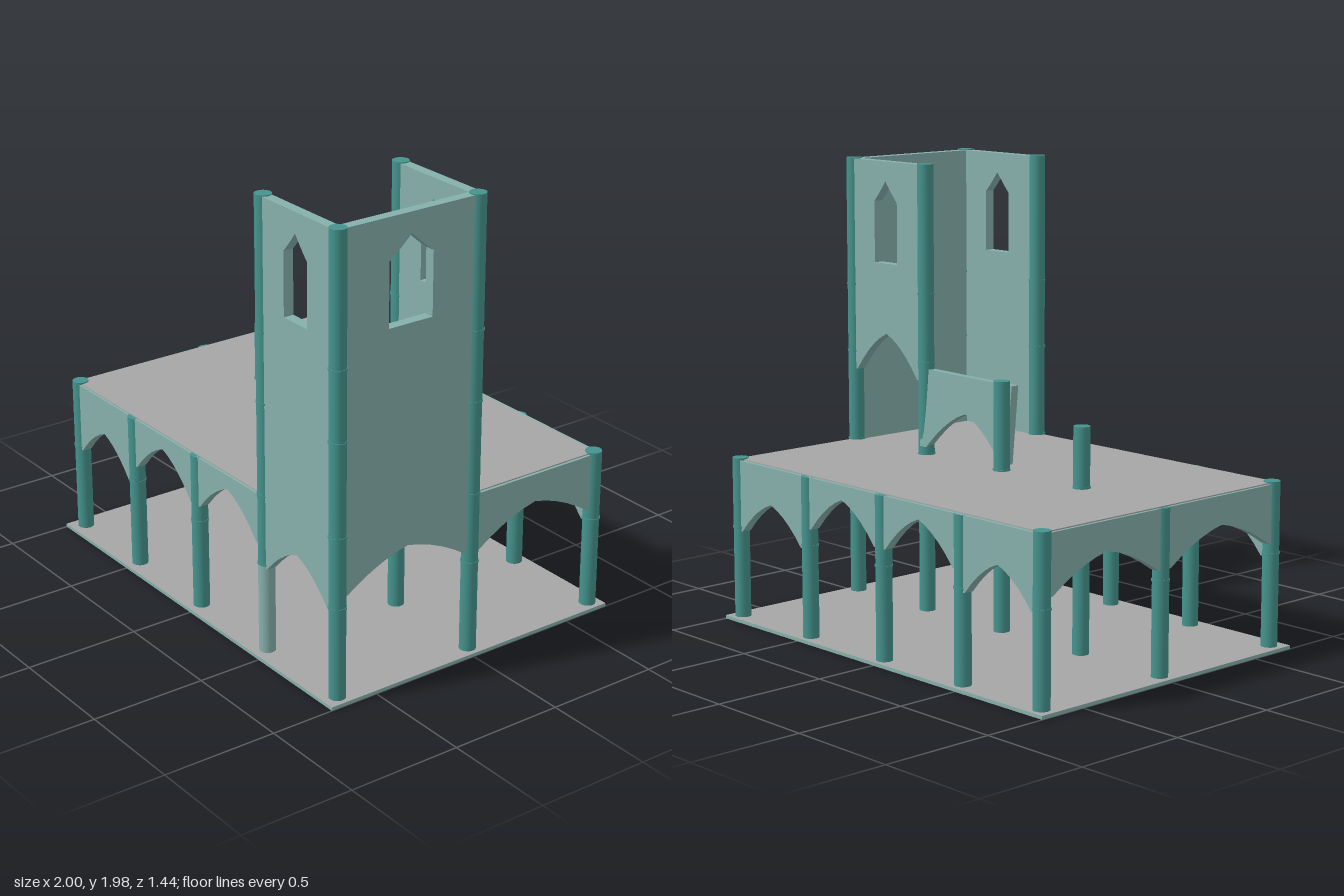
import * as THREE from 'three';

const wallMat = new THREE.MeshStandardMaterial({ name: 'pale teal wall', color: 0x86b0ab });
const columnMat = new THREE.MeshStandardMaterial({ name: 'dark teal column', color: 0x45938d });
const floorMat = new THREE.MeshStandardMaterial({ name: 'grey floor', color: 0xa6a6a6 });

const THICK = 0.045, BASE = 0.015, FLOOR = 0.712, TOWER = 1.98;

// Panel outline: flat top, pointed arch below, optional lancet window
function archPanel(width, spring, apex, top, windowHalf = 0) {
  const h = width / 2, s = h - 0.035, rise = apex - spring;
  const shape = new THREE.Shape();
  shape.moveTo(-h, top);
  shape.lineTo(-h, spring);
  shape.lineTo(-s, spring);
  shape.quadraticCurveTo(-s * 0.5, spring + rise * 0.78, 0, apex);
  shape.quadraticCurveTo(s * 0.5, spring + rise * 0.78, s, spring);
  shape.lineTo(h, spring);
  shape.lineTo(h, top);
  shape.closePath();
  if (windowHalf) {
    const w = windowHalf, hole = new THREE.Path();
    hole.moveTo(-w, 1.53);
    hole.lineTo(w, 1.53);
    hole.lineTo(w, 1.8);
    hole.quadraticCurveTo(w * 0.55, 1.835, 0, 1.89);
    hole.quadraticCurveTo(-w * 0.55, 1.835, -w, 1.8);
    hole.closePath();
    shape.holes.push(hole);
  }
  const geo = new THREE.ExtrudeGeometry(shape, { depth: THICK, bevelEnabled: false, curveSegments: 5 });
  return geo.translate(0, 0, -THICK / 2);
}

export function createModel() {
  const model = new THREE.Group();
  model.name = 'ruinedArcade';

  const add = (name, geo, mat, x = 0, y = 0, z = 0) => {
    const mesh = new THREE.Mesh(geo, mat);
    mesh.name = name;
    mesh.position.set(x, y, z);
    model.add(mesh);
    return mesh;
  };

  // Wall running between two column centres
  const wall = (name, [x0, z0], [x1, z1], spring, apex, top, win) => {
    const geo = archPanel(Math.hypot(x1 - x0, z1 - z0), spring, apex, top, win);
    const mesh = add(name, geo, wallMat, (x0 + x1) / 2, 0, (z0 + z1) / 2);
    mesh.rotation.y = Math.atan2(z0 - z1, x1 - x0);
  };

  // Column with thin joint rings between its drums
  const column = (name, x, z, top, from = BASE) => {
    add(name, new THREE.CylinderGeometry(0.035, 0.035, top - from, 24), columnMat, x, (top + from) / 2, z);
    for (const y of [0.415, 0.72, 1.12, 1.42]) {
      if (y < top - 0.05 && y >= from)
        add(name + 'Joint', new THREE.CylinderGeometry(0.038, 0.038, 0.008, 24), columnMat, x, y, z);
    }
  };

  // Ground slab with grey faces and teal edges
  add('groundSlab', new THREE.BoxGeometry(2, BASE, 1.44),
    [wallMat, wallMat, floorMat, floorMat, wallMat, wallMat], 0, BASE / 2, 0);

  // Upper floor
  add('upperFloor', new THREE.BoxGeometry(1.9, 0.005, 1.336), floorMat, 0, FLOOR + 0.0025, -0.003);

  const xs = [-0.94, -0.49, -0.01, 0.47, 0.945];
  const frontZ = 0.653, midZ = -0.01, backZ = -0.665;

  // Front and back columns and arches
  xs.forEach((x, i) => {
    const corner = i === 0 || i === 4;
    const low = corner ? 0.722 : FLOOR;
    if (i < 3) column('frontColumn', x, frontZ, low);
    column('backColumn', x, backZ, low);
    if (i === 4) return;
    const outer = i === 0 || i === 3;
    const spring = outer ? 0.4 : 0.49, apex = outer ? 0.55 : 0.65;
    if (i < 3) wall('frontArch', [x, frontZ], [xs[i + 1], frontZ], spring, apex, FLOOR);
    wall('backArch', [x, backZ], [xs[i + 1], backZ], spring, apex, FLOOR);
  });

  // Side arches
  wall('sideArch', [xs[0], frontZ], [xs[0], midZ], 0.46, 0.59, FLOOR);
  wall('sideArch', [xs[0], midZ], [xs[0], backZ], 0.46, 0.59, FLOOR);
  wall('sideArch', [0.94, midZ], [0.94, backZ], 0.46, 0.59, FLOOR);

  // Middle row of columns, two of them broken off above the floor
  column('sideColumn', xs[0], midZ, FLOOR);
  column('brokenColumn', xs[1], midZ, 0.975);
  column('brokenColumn', xs[2], midZ, 1.1);

  // Tower corner columns; one stands on a paler drum
  column('towerColumn', xs[3], frontZ, TOWER, 0.41);
  add('paleDrum', new THREE.CylinderGeometry(0.035, 0.035, 0.395, 24), wallMat, xs[3], 0.2125, frontZ);
  column('towerColumn', xs[4], frontZ, TOWER);
  column('towerColumn', xs[4], midZ, TOWER);
  column('towerColumn', xs[3], midZ, TOWER);

  // Tower walls, open on the inner side
  const top = TOWER - 0.004;
  wall('towerFrontWall', [xs[3], frontZ], [xs[4], frontZ], 0.4, 0.55, top, 0.075);
  wall('towerSideWall', [0.94, frontZ], [0.94, midZ], 0.46, 0.59, top, 0.105);
  wall('towerBackWall', [xs[3], midZ], [xs[4], midZ], 1.04, 1.22, top, 0.075);

  // Loose arch panel leaning between the broken column and the tower
  const loose = add('leaningArch', archPanel(0.48, -0.17, 0.01, 0.17), wallMat, 0.232, 0.912, 0.02);
  loose.rotation.set(0.05, 0.15, 0.05, 'YXZ');

  return model;
}
